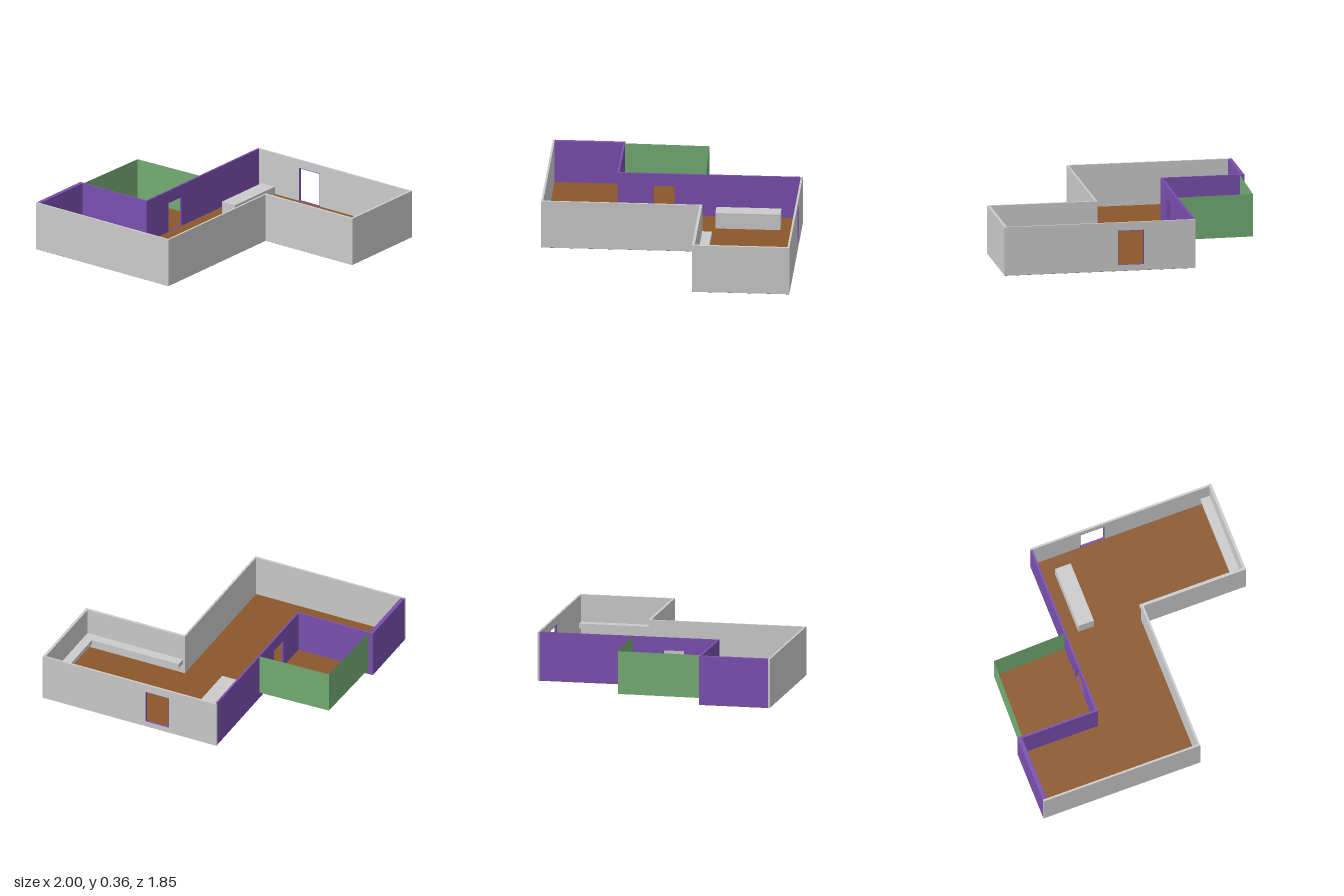
import * as THREE from 'three';

const HEIGHT = 0.36;
const FLOOR = 0.045;

const grey = new THREE.MeshStandardMaterial({ color: 0xcccccc });
const purple = new THREE.MeshStandardMaterial({ color: 0x7a4fb0 });
const brown = new THREE.MeshStandardMaterial({ color: 0x8b572a });
const brownSheet = new THREE.MeshStandardMaterial({ color: 0x8b572a, side: THREE.DoubleSide });
const greenSheet = new THREE.MeshStandardMaterial({ color: 0x74ad74, side: THREE.DoubleSide });

const outline = (points) => new THREE.Shape(points.map(([x, y]) => new THREE.Vector2(x, y)));
const rect = (x0, y0, x1, y1) => outline([[x0, y0], [x1, y0], [x1, y1], [x0, y1]]);
const extrude = (shape, depth) => new THREE.ExtrudeGeometry(shape, { depth, bevelEnabled: false });

export function createModel() {
  const model = new THREE.Group();

  const add = (name, geometry, material) => {
    const mesh = new THREE.Mesh(geometry, material);
    mesh.name = name;
    model.add(mesh);
    return mesh;
  };

  const box = (name, [x0, y0, z0], [x1, y1, z1], material) => {
    add(name, new THREE.BoxGeometry(x1 - x0, y1 - y0, z1 - z0), material)
      .position.set((x0 + x1) / 2, (y0 + y1) / 2, (z0 + z1) / 2);
  };

  // Wall running along +x (thickness towards +z) or +z (thickness towards -x);
  // door = [start, end, top] measured along the wall
  const wall = (name, axis, x, z, length, thickness, material, door) => {
    const shape = rect(0, 0.002, length, HEIGHT);
    if (door) shape.holes.push(rect(door[0], FLOOR, door[1], door[2]));
    const place = (mesh) => {
      mesh.position.set(x, 0, z);
      if (axis === 'z') mesh.rotation.y = -Math.PI / 2;
    };
    place(add(name, extrude(shape, thickness), material));
    if (door) {
      // Purple lining of the door opening
      const lining = rect(door[0], FLOOR, door[1], door[2]);
      const t = 0.004;
      lining.holes.push(rect(door[0] + t, FLOOR + 0.001, door[1] - t, door[2] - t));
      place(add(name + 'DoorLining', extrude(lining, thickness), purple));
    }
  };

  // Main floor slab, just inside the outer wall faces
  const e = 0.003;
  const slab = extrude(outline([
    [-1 + e, -0.925 + e], [0.21 - e, -0.925 + e], [0.21 - e, 0.22 + e], [1 - e, 0.22 + e],
    [1 - e, 0.925 - e], [-0.4 + e, 0.925 - e], [-0.4 + e, -0.4 - e], [-1 + e, -0.4 - e],
  ]), FLOOR);
  slab.rotateX(-Math.PI / 2);
  add('mainFloor', slab, brown);

  // Grey outer walls
  wall('backWall', 'x', -0.4, -0.925, 1.4, 0.015, grey, [0.38, 0.57, 0.3]);
  wall('wingSideWall', 'z', 1, -0.91, 0.69, 0.02, grey);
  wall('wingFrontWall', 'x', 0.195, -0.24, 0.785, 0.02, grey);
  wall('hallSideWall', 'z', 0.21, -0.22, 1.145, 0.015, grey);
  wall('frontWall', 'x', -1, 0.91, 1.195, 0.015, grey);

  // Purple walls
  wall('innerWall', 'z', -0.385, -0.91, 1.325, 0.015, purple, [0.91, 1.07, 0.27]);
  wall('crossWall', 'x', -1, 0.4, 0.6, 0.015, purple);
  wall('cornerWall', 'z', -0.97, 0.415, 0.495, 0.03, purple);

  // Side room: raised thin floor and two thin green walls
  const corners = [[-0.4, -0.225], [-0.95, -0.21], [-0.965, 0.4]];
  const sideFloor = new THREE.ShapeGeometry(outline([...corners, [-0.4, 0.4]].map(([x, z]) => [x, -z])));
  sideFloor.rotateX(-Math.PI / 2);
  add('sideRoomFloor', sideFloor, brownSheet).position.y = FLOOR;
  ['sideRoomBackWall', 'sideRoomOuterWall'].forEach((name, i) => {
    const [[x0, z0], [x1, z1]] = [corners[i], corners[i + 1]];
    const panel = add(name, new THREE.PlaneGeometry(Math.hypot(x1 - x0, z1 - z0), HEIGHT - FLOOR), greenSheet);
    panel.position.set((x0 + x1) / 2, (HEIGHT + FLOOR) / 2, (z0 + z1) / 2);
    panel.rotation.y = -Math.atan2(z1 - z0, x1 - x0);
  });

  // L-shaped counter along the wing walls
  const counter = extrude(outline([
    [0.21, 0.24], [0.98, 0.24], [0.98, 0.91], [0.91, 0.91], [0.91, 0.31], [0.21, 0.31],
  ]), 0.035);
  counter.rotateX(-Math.PI / 2);
  add('counter', counter, grey).position.y = 0.125;

  // Free-standing island
  box('island', [-0.26, FLOOR, -0.78], [-0.14, 0.165, -0.31], grey);

  return model;
}
